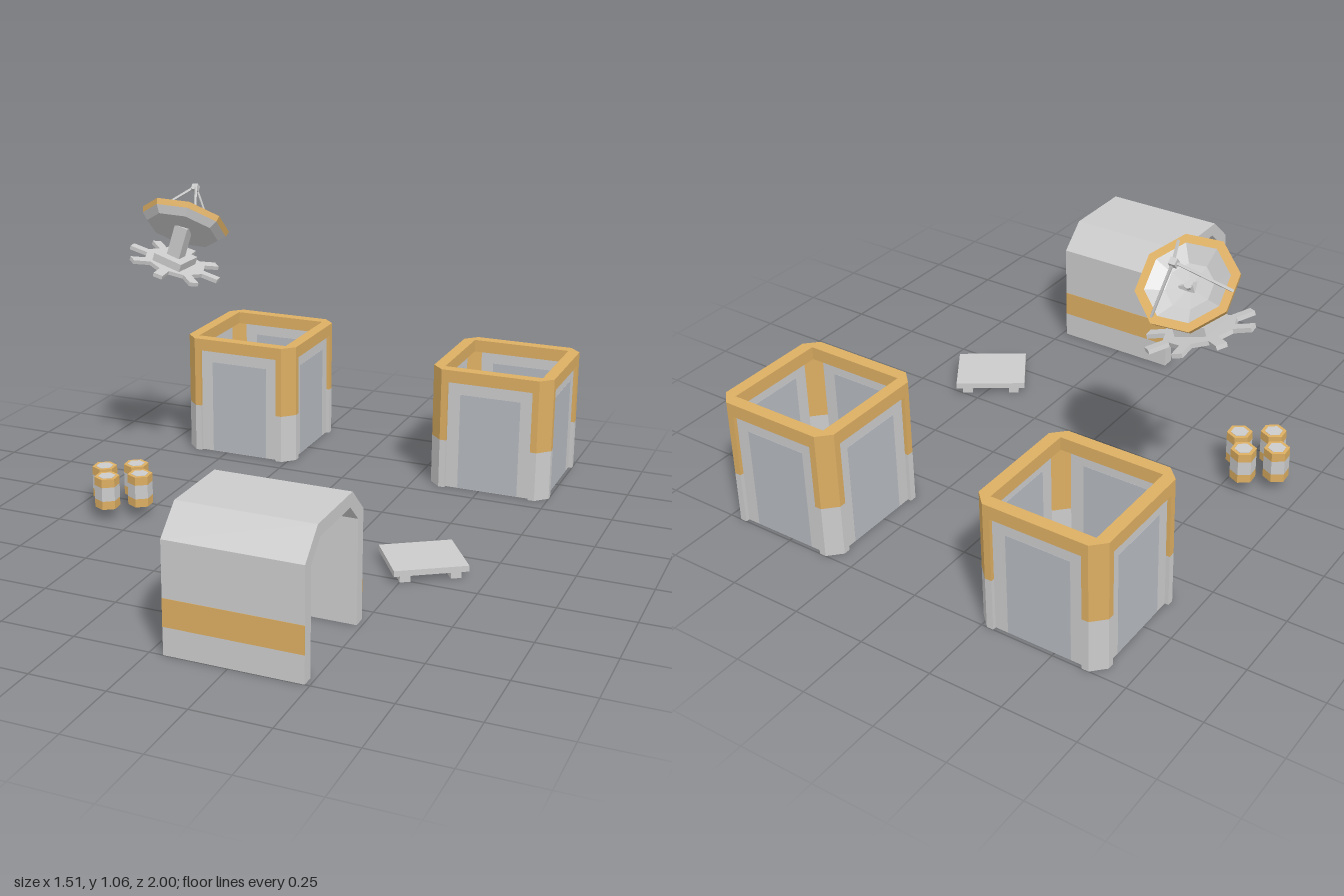
import * as THREE from 'three';

const grey = new THREE.MeshStandardMaterial({ color: 0xcccccc, flatShading: true });
const ochre = new THREE.MeshStandardMaterial({ color: 0xdcae62, flatShading: true });
const tint = new THREE.MeshStandardMaterial({ color: 0xb6bac0, flatShading: true });
const greyThin = new THREE.MeshStandardMaterial({ color: 0xcccccc, flatShading: true, side: THREE.DoubleSide });

function add(parent, name, geometry, material, x = 0, y = 0, z = 0) {
  const mesh = new THREE.Mesh(geometry, material);
  mesh.name = name;
  mesh.position.set(x, y, z);
  parent.add(mesh);
  return mesh;
}

function group(parent, name, x = 0, y = 0, z = 0) {
  const g = new THREE.Group();
  g.name = name;
  g.position.set(x, y, z);
  parent.add(g);
  return g;
}

const box = (w, h, d) => new THREE.BoxGeometry(w, h, d);
const outline = (pts) => new THREE.Shape(pts.map(([x, y]) => new THREE.Vector2(x, y)));
const extrude = (shape, depth) => new THREE.ExtrudeGeometry(shape, { depth, bevelEnabled: false });
// plan outline raised along y
const raise = (shape, height) => extrude(shape, height).rotateX(-Math.PI / 2);

// thin round bar between two points
function bar(parent, name, a, b, radius) {
  const dir = b.clone().sub(a);
  const mesh = add(parent, name, new THREE.CylinderGeometry(radius, radius, dir.length(), 5), grey);
  mesh.position.copy(a).add(b).multiplyScalar(0.5);
  mesh.quaternion.setFromUnitVectors(new THREE.Vector3(0, 1, 0), dir.normalize());
}

// open-ended square enclosure with chamfered posts and a top rim
function enclosure(parent, x, z) {
  const g = group(parent, 'enclosure', x, 0, z);
  const o = 0.22, c = 0.178, p = 0.155;
  const rim = outline([[o, -c], [o, c], [c, o], [-c, o], [-o, c], [-o, -c], [-c, -o], [c, -o]]);
  rim.holes.push(new THREE.Path([[-c, -c], [-c, c], [c, c], [c, -c]].map(([a, b]) => new THREE.Vector2(a, b))));
  add(g, 'rim', raise(rim, 0.045), ochre, 0, 0.4, 0);
  const post = outline([[0.2, p], [o, p], [o, c], [c, o], [p, o], [p, 0.2], [c, c]]);
  for (let i = 0; i < 4; i++) {
    const side = group(g, 'side');
    side.rotation.y = (i * Math.PI) / 2;
    add(side, 'postLower', raise(post, 0.18), grey);
    add(side, 'postUpper', raise(post, 0.22), ochre, 0, 0.18, 0);
    add(side, 'wall', box(0.33, 0.4, 0.008), grey, 0, 0.2, 0.203);
    add(side, 'wallInset', box(0.22, 0.354, 0.01), tint, 0, 0.178, 0.203);
  }
}

// open tunnel with sloping shoulders
function shelter(parent) {
  const g = group(parent, 'shelter', 0.265, 0, 0.78);
  const half = [[0.22, 0], [0.22, 0.36], [0.13, 0.445]];
  const inner = [[0.113, 0.402], [0.178, 0.342], [0.178, 0]];
  const flip = (pts) => pts.map(([a, b]) => [-a, b]).reverse();
  const profile = outline([...half, ...flip(half), ...flip(inner), ...inner]);
  add(g, 'shell', extrude(profile, 0.44).translate(0, 0, -0.22).rotateY(Math.PI / 2), grey);
  for (const s of [-1, 1]) add(g, 'stripe', box(0.44, 0.09, 0.002), ochre, 0, 0.135, s * 0.22);
}

// hexagonal canister with coloured ends
function canister(parent, x, z) {
  const g = group(parent, 'canister', x, 0.1, z);
  g.rotation.y = 0.08;
  const prism = (r, h) => new THREE.CylinderGeometry(r, r, h, 6);
  add(g, 'body', prism(0.043, 0.05), grey);
  for (const s of [-1, 1]) add(g, 'endBand', prism(0.043, 0.03), ochre, 0, s * 0.04, 0);
  add(g, 'lid', prism(0.03, 0.002), grey, 0, 0.055, 0);
}

// low slab on two skids
function pallet(parent) {
  const g = group(parent, 'pallet', 0.533, 0, 0.135);
  g.rotation.y = 0.583;
  add(g, 'deck', box(0.245, 0.02, 0.21), grey, 0, 0.035, 0);
  for (const s of [-1, 1]) add(g, 'skid', box(0.035, 0.026, 0.19), grey, s * 0.083, 0.013, 0);
}

// tilted pedestal carrying an eight-sided dish
function antenna(parent) {
  const g = group(parent, 'antenna');
  const base = group(g, 'pedestal', -0.59, 0.787, -0.345);
  base.rotation.z = -0.31;
  add(base, 'basePlate', new THREE.CylinderGeometry(0.115, 0.115, 0.014, 8), grey);
  for (let i = 0; i < 8; i++) {
    const arm = group(base, 'baseArm');
    arm.rotation.y = (i * Math.PI) / 4 + 0.12;
    add(arm, 'arm', box(0.075, 0.014, 0.034), grey, 0.133, 0, 0);
  }
  add(base, 'footing', box(0.11, 0.03, 0.13), grey, 0, 0.02, 0.01);
  add(base, 'column', box(0.05, 0.125, 0.05), grey, 0, 0.088, 0.01);

  const dish = group(g, 'dish', -0.553, 0.935, -0.357);
  dish.rotation.x = -0.68;
  const ring = (pts) => new THREE.LatheGeometry(pts.map(([r, y]) => new THREE.Vector2(r, y)), 8)
    .rotateY(Math.PI / 8 + 0.07);
  add(dish, 'dishBack', ring([[0, -0.03], [0.13, -0.03], [0.153, -0.006]]), greyThin);
  add(dish, 'dishRim', ring([[0.153, -0.006], [0.159, 0.015], [0.13, 0.015]]), ochre);
  add(dish, 'dishBowl', ring([[0.13, 0.015], [0.075, -0.01], [0, -0.016]]), greyThin);
  add(dish, 'hub', new THREE.CylinderGeometry(0.014, 0.014, 0.02, 8), grey, 0, -0.008, 0);
  const tip = new THREE.Vector3(0, 0.148, 0);
  for (const deg of [-66, 54, 174]) {
    const a = THREE.MathUtils.degToRad(deg);
    bar(dish, 'strut', new THREE.Vector3(0.143 * Math.cos(a), 0.013, 0.143 * Math.sin(a)), tip, 0.005);
  }
  add(dish, 'receiver', box(0.022, 0.022, 0.022), grey, 0, 0.142, 0);
}

export function createModel() {
  const model = new THREE.Group();
  model.name = 'outpost';
  for (const x of [-0.447, 0.53]) enclosure(model, x, -0.78);
  shelter(model);
  for (const [x, z] of [[-0.655, 0.09], [-0.565, 0.027], [-0.507, 0.108], [-0.6, 0.173]]) canister(model, x, z);
  pallet(model);
  antenna(model);
  return model;
}
